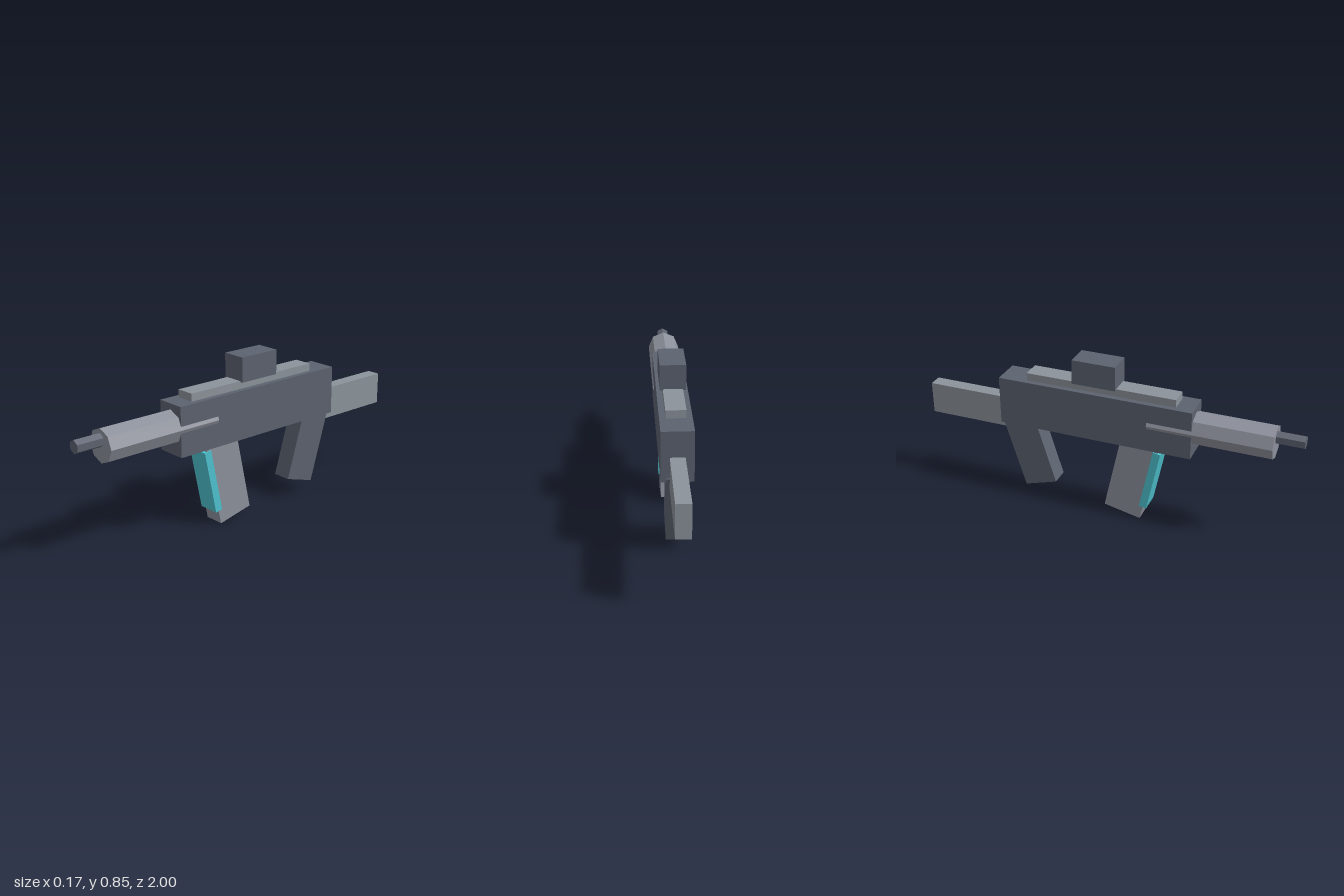
import * as THREE from 'three';

const paint = (name, color) => {
  const m = new THREE.MeshStandardMaterial({ color, flatShading: true });
  m.name = name;
  return m;
};

export function createModel() {
  const dark = paint('dark slate', 0x5c626f);
  const steel = paint('steel grey', 0x8b939a);
  const alloy = paint('alloy grey', 0x8c909b);
  const cyan = paint('cyan', 0x4ec2cf);
  const group = new THREE.Group();
  group.name = 'toyBlaster';

  const add = (name, geometry, material, y, z, tilt = 0) => {
    const mesh = new THREE.Mesh(geometry, material);
    mesh.name = name;
    mesh.position.set(0, y, z);
    mesh.rotation.x = tilt;
    group.add(mesh);
  };

  // Upright box given by its width and its y and z ranges
  const block = (name, material, w, y0, y1, z0, z1) =>
    add(name, new THREE.BoxGeometry(w, y1 - y0, z1 - z0), material, (y0 + y1) / 2, (z0 + z1) / 2);

  // Faceted tube lying along z, with a corner pointing up
  const tube = (name, material, radius, sides, y, z0, z1) =>
    add(name, new THREE.CylinderGeometry(radius, radius, z1 - z0, sides).rotateX(Math.PI / 2),
      material, y, (z0 + z1) / 2);

  // Body and the parts mounted on it
  block('body', dark, 0.156, 0.435, 0.69, -0.57, 0.46);
  block('topRail', steel, 0.098, 0.68, 0.73, -0.425, 0.37);
  block('sight', dark, 0.128, 0.725, 0.853, -0.17, 0.06);
  block('stock', steel, 0.072, 0.39, 0.56, -1, -0.5);

  // Barrel
  tube('barrelShroud', alloy, 0.085, 8, 0.575, 0.23, 0.86);
  tube('muzzle', dark, 0.034, 6, 0.604, 0.75, 1);

  // Tilted parts below the body
  add('magazine', new THREE.BoxGeometry(0.106, 0.46, 0.2), alloy, 0.25, 0.146, 0.21);
  add('magazineStrip', new THREE.BoxGeometry(0.116, 0.342, 0.04), cyan, 0.247, 0.246, 0.2);
  add('rearGrip', new THREE.BoxGeometry(0.1, 0.41, 0.183), dark, 0.284, -0.428, -0.3);

  return group;
}
